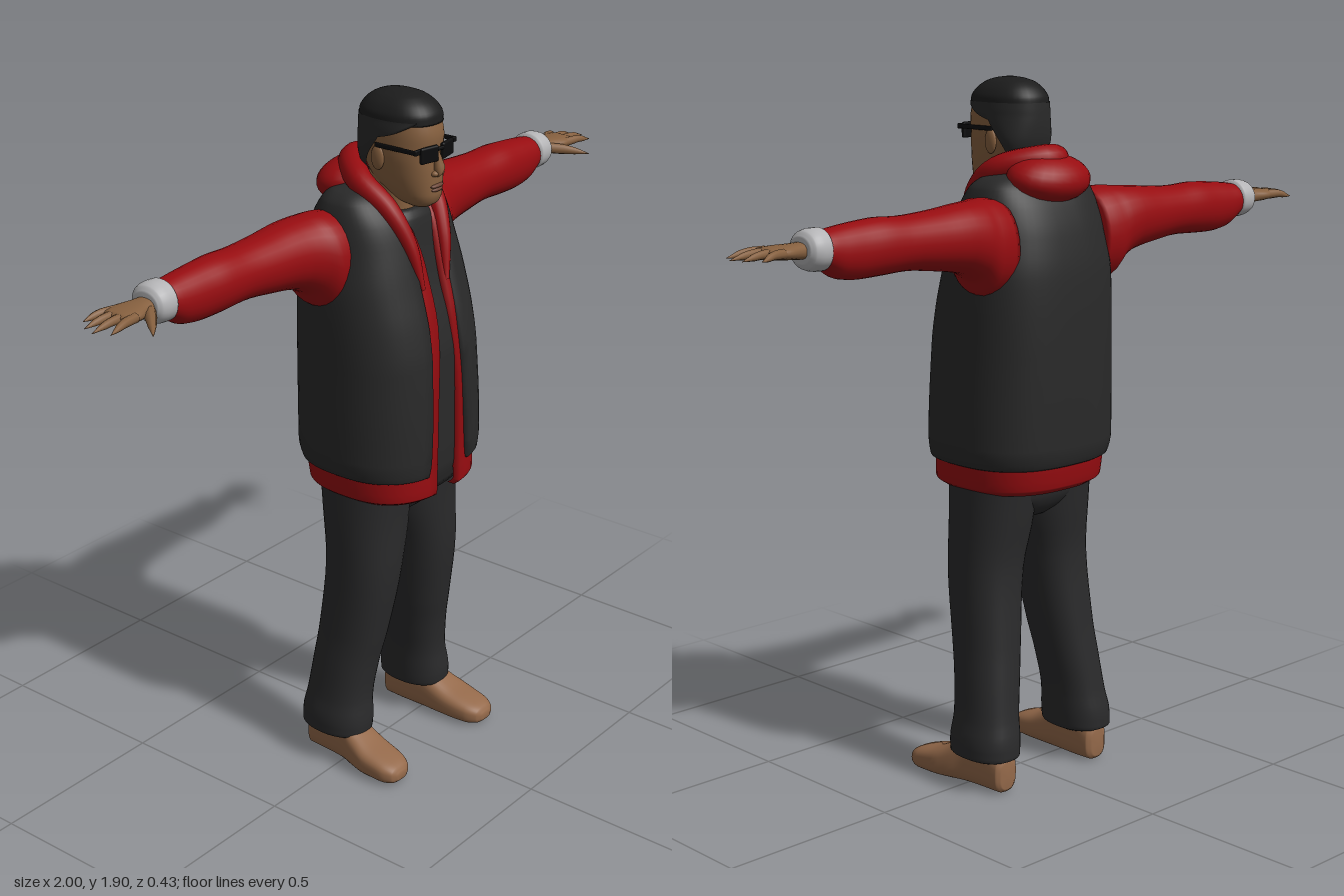
import * as THREE from 'three';
import { RoundedBoxGeometry } from 'three/addons/geometries/RoundedBoxGeometry.js';

const mat = (name, color, open) => {
  const m = new THREE.MeshStandardMaterial({ color });
  m.name = name;
  if (open) m.side = THREE.DoubleSide;
  return m;
};

// Monotone smooth interpolation between cross-section rows (first column is the position).
function refine(rows, sub) {
  const slope = (i, c) => (rows[i + 1][c] - rows[i][c]) / (rows[i + 1][0] - rows[i][0]);
  const last = rows.length - 1;
  const tangent = (i, c) => {
    if (i === 0) return slope(0, c);
    if (i === last) return slope(last - 1, c);
    const p = slope(i - 1, c), q = slope(i, c);
    return p * q > 0 ? (2 * p * q) / (p + q) : 0;
  };
  const out = [];
  for (let i = 0; i < last; i++) {
    const h = rows[i + 1][0] - rows[i][0];
    for (let k = 0; k < sub; k++) {
      const s = k / sub, s2 = s * s, s3 = s2 * s;
      out.push(rows[i].map((v, c) => (2 * s3 - 3 * s2 + 1) * v + (s3 - 2 * s2 + s) * h * tangent(i, c)
        + (3 * s2 - 2 * s3) * rows[i + 1][c] + (s3 - s2) * h * tangent(i + 1, c)));
    }
  }
  out.push(rows[last]);
  return out;
}

// Lofts superellipse sections along an axis. Row: [t, aMin, aMax, bMin, bMax, gap at -a, gap at +a].
// With gaps the shell stays open at +b and its edges turn inward.
function loft(axis, rows, { n = 2.4, seg = 36, sub = 4 } = {}) {
  const place = { y: (t, a, b) => [a, t, b], x: (t, a, b) => [t, a, b], z: (t, a, b) => [a, b, t] }[axis];
  const open = rows[0].length > 5, flip = axis !== 'y';
  const rings = refine(rows, sub), pos = [], idx = [];
  const tri = (a, b, c) => (flip ? idx.push(a, c, b) : idx.push(a, b, c));
  const pw = (v) => Math.sign(v) * Math.abs(v) ** (2 / n);
  const count = open ? seg + 3 : seg;
  for (const [t, a0, a1, b0, b1, gapA = 0, gapB = 0] of rings) {
    const ha = (a1 - a0) / 2, hb = (b1 - b0) / 2;
    const angle = (g) => Math.asin(Math.min(1, g / ha) ** (n / 2));
    const start = angle(gapB), end = 2 * Math.PI - angle(gapA);
    for (let j = 0; j < count; j++) {
      const k = open ? Math.min(seg, Math.max(0, j - 1)) : j;
      const inset = open && (j === 0 || j === count - 1) ? 0.88 : 1;
      const th = start + ((end - start) * k) / seg;
      pos.push(...place(t, (a0 + a1) / 2 + ha * pw(Math.sin(th)), (b0 + b1) / 2 + hb * pw(Math.cos(th)) * inset));
    }
  }
  for (let i = 0; i < rings.length - 1; i++) {
    for (let j = 0; j < (open ? count - 1 : count); j++) {
      const a = i * count + j, b = i * count + ((j + 1) % count);
      tri(a, b, b + count);
      tri(a, b + count, a + count);
    }
  }
  if (!open) {
    for (const i of [0, rings.length - 1]) {
      const [t, a0, a1, b0, b1] = rings[i], c = pos.length / 3;
      pos.push(...place(t, (a0 + a1) / 2, (b0 + b1) / 2));
      for (let j = 0; j < count; j++) {
        const a = i * count + j, b = i * count + ((j + 1) % count);
        i ? tri(c, a, b) : tri(c, b, a);
      }
    }
  }
  const g = new THREE.BufferGeometry();
  g.setAttribute('position', new THREE.Float32BufferAttribute(pos, 3));
  g.setIndex(idx);
  g.computeVertexNormals();
  return g;
}

// Tube through [x, y, z, radius] points.
function taperTube(pts, seg = 16, sides = 10) {
  const curve = new THREE.CatmullRomCurve3(pts.map((p) => new THREE.Vector3(p[0], p[1], p[2])));
  const g = new THREE.TubeGeometry(curve, seg, 1, sides), p = g.attributes.position, v = new THREE.Vector3();
  for (let i = 0; i < p.count; i++) {
    const u = Math.floor(i / (sides + 1)) / seg, c = curve.getPointAt(u);
    const f = u * (pts.length - 1), k = Math.min(pts.length - 2, Math.floor(f));
    const r = THREE.MathUtils.lerp(pts[k][3], pts[k + 1][3], f - k);
    v.fromBufferAttribute(p, i).sub(c).multiplyScalar(r).add(c);
    p.setXYZ(i, v.x, v.y, v.z);
  }
  return g;
}

const ball = (x, y, z, rx, ry, rz) => new THREE.SphereGeometry(1, 24, 16).scale(rx, ry, rz).translate(x, y, z);
const box = (x, y, z, w, h, d, r) => new RoundedBoxGeometry(w, h, d, 3, r).translate(x, y, z);

function mirrorX(geometry) {
  const g = geometry.clone().scale(-1, 1, 1), ix = g.index ? g.index.array : null;
  if (!ix) g.setIndex([...Array(g.attributes.position.count).keys()]);
  const a = g.index.array;
  for (let i = 0; i < a.length; i += 3) [a[i + 1], a[i + 2]] = [a[i + 2], a[i + 1]];
  return g;
}

export function createModel() {
  const model = new THREE.Group();
  const skin = mat('skin', 0x86603f), lipSkin = mat('lips', 0x6b4536), hairMat = mat('hair', 0x1c1c1c);
  const red = mat('red fabric', 0x960c10, true), vestMat = mat('vest black', 0x292929, true);
  const trouser = mat('trouser black', 0x2a2a2b), white = mat('cuff grey', 0xb4b4b6);
  const leather = mat('tan leather', 0x94694a), glass = mat('glasses black', 0x0c0c0d);
  const add = (name, g, m) => {
    const mesh = new THREE.Mesh(g, m);
    mesh.name = name;
    model.add(mesh);
  };
  const pair = (name, g, m) => {
    add(name + 'Left', g, m);
    add(name + 'Right', mirrorX(g), m);
  };
  const body = (rows) => rows.map(([y, w, ...rest]) => [y, -w, w, ...rest]);

  // Shirt, open jacket and vest, nested from the inside out
  add('shirt', loft('y', body([
    [0.83, 0.17, -0.15, 0.17], [0.9, 0.18, -0.17, 0.185], [1.2, 0.18, -0.18, 0.185], [1.3, 0.175, -0.18, 0.168],
    [1.4, 0.165, -0.17, 0.136], [1.5, 0.14, -0.14, 0.115], [1.57, 0.1, -0.1, 0.105], [1.595, 0.07, -0.06, 0.09],
  ]), { n: 2.6 }), vestMat);
  add('jacket', loft('y', body([
    [0.82, 0.19, -0.165, 0.185, 0.05, 0.05], [0.838, 0.213, -0.188, 0.205, 0.05, 0.05],
    [0.92, 0.218, -0.195, 0.202, 0.045, 0.052], [1.1, 0.21, -0.195, 0.2, 0.04, 0.05],
    [1.3, 0.2, -0.195, 0.18, 0.022, 0.04], [1.45, 0.18, -0.18, 0.142, 0.025, 0.04],
    [1.55, 0.165, -0.145, 0.115, 0.045, 0.045], [1.62, 0.12, -0.1, 0.07, 0.07, 0.07],
  ]), { n: 2.6, seg: 48 }), red);
  add('vest', loft('y', body([
    [0.888, 0.205, -0.185, 0.197, 0.095, 0.085], [0.9, 0.23, -0.205, 0.215, 0.09, 0.08],
    [0.95, 0.238, -0.215, 0.218, 0.085, 0.075], [1.2, 0.232, -0.217, 0.206, 0.072, 0.062],
    [1.3, 0.23, -0.215, 0.188, 0.065, 0.06], [1.4, 0.225, -0.209, 0.16, 0.063, 0.062],
    [1.5, 0.207, -0.19, 0.131, 0.07, 0.07], [1.57, 0.195, -0.165, 0.105, 0.09, 0.085],
    [1.62, 0.18, -0.135, 0.07, 0.1, 0.1], [1.645, 0.155, -0.11, 0.04, 0.1, 0.1], [1.658, 0.11, -0.08, 0, 0.09, 0.09],
  ]), { n: 2.6, seg: 48 }), vestMat);

  // Hood lying on the back, with its edge around the neck
  const edge = [[0.05, 1.4, 0.15, 0.008], [0.07, 1.52, 0.122, 0.02], [0.092, 1.61, 0.07, 0.028], [0.095, 1.67, -0.02, 0.035]];
  const otherEdge = edge.map(([x, y, z, r]) => [-x, y, z, r]).reverse();
  add('hoodEdge', taperTube([...edge, [0, 1.69, -0.105, 0.042], ...otherEdge], 60, 16), red);
  add('hood', ball(0, 0, 0, 0.128, 0.062, 0.09).rotateX(-0.25).translate(0, 1.645, -0.105), red);

  // Sleeves, cuffs and hands
  pair('sleeve', loft('x', [
    [0.16, 1.35, 1.6, -0.165, 0.04], [0.22, 1.355, 1.607, -0.172, 0.035], [0.26, 1.4, 1.604, -0.172, 0.015],
    [0.31, 1.425, 1.601, -0.17, 0], [0.4, 1.44, 1.592, -0.162, -0.012], [0.5, 1.45, 1.587, -0.155, -0.02],
    [0.57, 1.447, 1.59, -0.153, -0.02], [0.64, 1.445, 1.586, -0.147, -0.026], [0.7, 1.452, 1.58, -0.143, -0.032],
    [0.75, 1.48, 1.572, -0.138, -0.04], [0.765, 1.49, 1.565, -0.13, -0.048],
  ], { n: 2.1, seg: 28 }), red);
  pair('cuff', loft('x', [
    [0.742, 1.49, 1.57, -0.13, -0.045], [0.752, 1.477, 1.582, -0.143, -0.033], [0.775, 1.478, 1.582, -0.145, -0.032],
    [0.796, 1.484, 1.577, -0.14, -0.036], [0.808, 1.5, 1.562, -0.125, -0.048],
  ], { n: 2.1, seg: 28 }), white);
  pair('palm', loft('x', [
    [0.79, 1.508, 1.552, -0.112, -0.058], [0.83, 1.512, 1.55, -0.12, -0.05], [0.87, 1.515, 1.549, -0.13, -0.036],
    [0.905, 1.52, 1.546, -0.125, -0.035], [0.915, 1.526, 1.54, -0.115, -0.045],
  ], { n: 2.4, seg: 20 }), skin);
  const fingers = [[-0.118, 0.958, -0.138], [-0.095, 0.988, -0.103], [-0.07, 0.998, -0.068], [-0.046, 0.978, -0.028]];
  fingers.forEach(([z0, x1, z1], i) => pair('finger' + (i + 1), taperTube([
    [0.88, 1.533, z0, 0.013], [(0.88 + x1) / 2, 1.533, (z0 + z1) / 2, 0.012],
    [x1 - 0.012, 1.526, z1 - (z1 - z0) * 0.1, 0.009], [x1, 1.524, z1, 0.0005],
  ], 12, 8), skin));
  pair('thumb', taperTube([
    [0.815, 1.528, -0.065, 0.015], [0.85, 1.522, -0.025, 0.015], [0.885, 1.512, 0.014, 0.01], [0.897, 1.508, 0.026, 0.0005],
  ], 12, 8), skin);

  // Trousers and shoes
  add('trouserSeat', loft('y', body([
    [0.735, 0.06, -0.07, 0.07], [0.765, 0.13, -0.105, 0.108], [0.8, 0.19, -0.122, 0.124], [0.9, 0.19, -0.14, 0.14],
  ])), trouser);
  pair('trouserLeg', loft('y', [
    [0.085, 0.12, 0.232, -0.12, 0.035], [0.098, 0.1, 0.253, -0.147, 0.06], [0.13, 0.097, 0.253, -0.147, 0.062],
    [0.2, 0.093, 0.241, -0.135, 0.056], [0.3, 0.077, 0.23, -0.122, 0.066], [0.4, 0.06, 0.22, -0.11, 0.086],
    [0.6, 0.03, 0.212, -0.095, 0.116], [0.75, 0.002, 0.207, -0.113, 0.122], [0.88, 0, 0.2, -0.13, 0.13],
  ], { n: 2.3 }), trouser);
  pair('shoe', loft('z', [
    [-0.132, 0.152, 0.2, 0.012, 0.085], [-0.12, 0.135, 0.214, 0.001, 0.11], [-0.05, 0.13, 0.22, 0, 0.14],
    [0, 0.13, 0.226, 0, 0.138], [0.05, 0.13, 0.24, 0, 0.108], [0.1, 0.132, 0.25, 0, 0.084],
    [0.16, 0.14, 0.248, 0, 0.066], [0.193, 0.157, 0.235, 0.006, 0.052], [0.204, 0.178, 0.215, 0.015, 0.036],
  ], { n: 2.8 }), leather);

  // Head
  add('neck', loft('y', body([[1.54, 0.064, -0.06, 0.085], [1.6, 0.058, -0.045, 0.08], [1.7, 0.056, -0.045, 0.08]])), skin);
  add('face', loft('y', body([
    [1.608, 0.025, 0.075, 0.132], [1.622, 0.045, 0.04, 0.15], [1.645, 0.058, 0, 0.157], [1.675, 0.068, -0.035, 0.157],
    [1.71, 0.075, -0.055, 0.156], [1.75, 0.08, -0.062, 0.153], [1.79, 0.08, -0.065, 0.156], [1.83, 0.077, -0.06, 0.148],
    [1.865, 0.06, -0.04, 0.12], [1.885, 0.03, 0, 0.08],
  ]), { n: 2.3 }), skin);
  add('nose', taperTube([
    [0, 1.765, 0.148, 0.007], [0, 1.73, 0.157, 0.011], [0, 1.704, 0.162, 0.016], [0, 1.69, 0.156, 0.002],
  ], 14, 12), skin);
  pair('nostril', ball(0.012, 1.7, 0.155, 0.01, 0.008, 0.011), skin);
  add('upperLip', ball(0, 1.667, 0.154, 0.025, 0.006, 0.009), lipSkin);
  add('lowerLip', ball(0, 1.657, 0.153, 0.022, 0.006, 0.009), lipSkin);
  pair('ear', ball(0.081, 1.735, 0.028, 0.009, 0.032, 0.02), skin);

  // Short hair: open at the face below the hairline, closed over the crown
  add('hairSides', loft('y', body([
    [1.69, 0.055, -0.05, 0.02, 0.055, 0.055], [1.71, 0.07, -0.062, 0.03, 0.07, 0.07],
    [1.75, 0.083, -0.073, 0.08, 0.083, 0.083], [1.79, 0.086, -0.076, 0.14, 0.086, 0.086],
    [1.81, 0.086, -0.076, 0.156, 0.08, 0.08], [1.835, 0.084, -0.075, 0.154, 0.055, 0.055],
  ]), { n: 2.3 }), vestMat);
  add('hairTop', loft('y', body([
    [1.825, 0.083, -0.074, 0.153], [1.845, 0.082, -0.072, 0.151], [1.865, 0.073, -0.06, 0.138],
    [1.885, 0.053, -0.035, 0.11], [1.895, 0.03, -0.005, 0.08], [1.899, 0.01, 0.025, 0.05],
  ]), { n: 2.3 }), hairMat);

  // Sunglasses
  pair('lens', box(0, 0, 0, 0.058, 0.042, 0.012, 0.005).rotateY(0.2).translate(0.037, 1.756, 0.157), glass);
  pair('glassesArm', box(0.082, 1.768, 0.085, 0.007, 0.012, 0.13, 0.003), glass);
  pair('glassesHinge', box(0.073, 1.768, 0.148, 0.024, 0.014, 0.009, 0.003), glass);
  add('glassesBridge', box(0, 1.766, 0.164, 0.026, 0.009, 0.009, 0.003), glass);

  return model;
}
